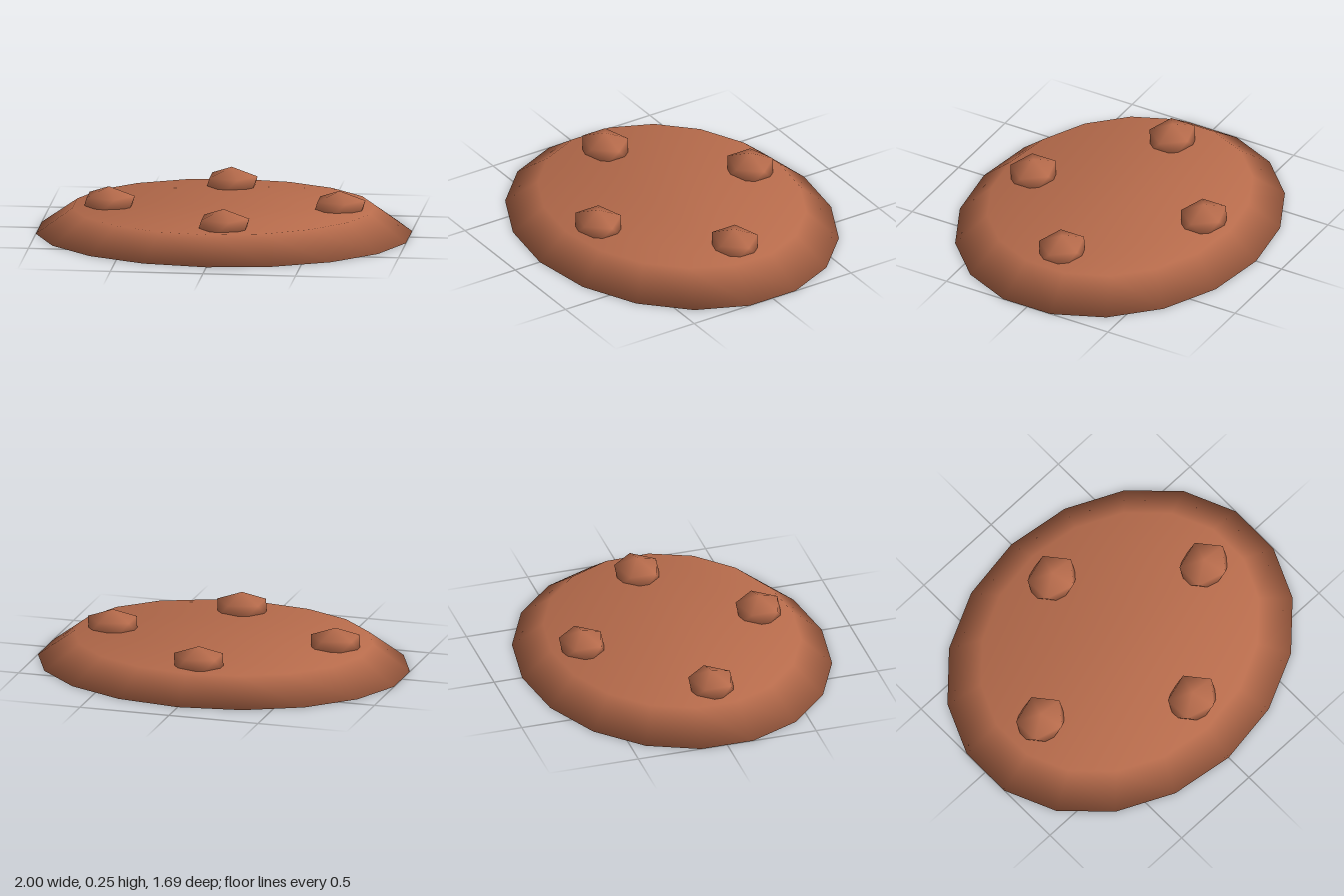
import * as THREE from 'three';

const clay = new THREE.MeshStandardMaterial({ color: 0xb86c4c });
clay.name = 'clay';

function indexedGeometry(points, index) {
  const g = new THREE.BufferGeometry();
  g.setAttribute('position', new THREE.Float32BufferAttribute(points.flat(), 3));
  g.setIndex(index);
  return g;
}

// Triangles between an upper ring (from u) and a lower ring (from l) of n points
function bandIndex(u, l, n) {
  const index = [];
  for (let i = 0; i < n; i++) {
    const j = (i + 1) % n;
    index.push(u + i, u + j, l + i, u + j, l + j, l + i);
  }
  return index;
}

// Oval 18-sided slab with sloping edge, shaded softly across its corners
function padGeometry() {
  const n = 18, rx = 1.0154, rz = 0.843, inset = 0.805;
  const lower = [], upper = [], lowerN = [], upperN = [];
  for (let i = 0; i < n; i++) {
    const a = (10 + 20 * i) * Math.PI / 180;
    const c = Math.cos(a), s = Math.sin(a);
    // the upper edge swells slightly on one side
    const swell = 0.01 * Math.max(0, Math.cos(a - Math.PI / 6)) ** 4;
    lower.push([rx * c, 0, rz * s]);
    upper.push([rx * c * inset, 0.14 + swell, rz * s * inset]);
    const out = new THREE.Vector3(c / rx, 0, s / rz).normalize().multiplyScalar(0.6);
    lowerN.push(out.clone().setY(-0.2).normalize().toArray());
    upperN.push(out.clone().setY(1.8).normalize().toArray());
  }
  const index = bandIndex(n, 0, n);
  for (let i = 1; i < n - 1; i++) {
    index.push(n, n + i + 1, n + i, 0, i, i + 1);
  }
  const g = indexedGeometry([...lower, ...upper], index);
  g.setAttribute('normal', new THREE.Float32BufferAttribute([...lowerN, ...upperN].flat(), 3));
  return g;
}

// Flattened twenty-faced stud with one point up
function studGeometry() {
  const points = [[0, 1, 0]];
  for (const [y, turn] of [[0.447, 0], [-0.447, 0.5]]) {
    for (let i = 0; i < 5; i++) {
      const a = (i + turn) * Math.PI * 2 / 5;
      points.push([0.894 * Math.cos(a), y, 0.894 * Math.sin(a)]);
    }
  }
  points.push([0, -1, 0]);
  const index = bandIndex(1, 6, 5);
  for (let i = 0; i < 5; i++) {
    const j = (i + 1) % 5;
    index.push(0, 1 + j, 1 + i, 11, 6 + i, 6 + j);
  }
  const g = indexedGeometry(points, index);
  g.scale(0.156, 0.09, 0.138);
  g.computeVertexNormals();
  return g;
}

export function createModel() {
  const model = new THREE.Group();
  model.name = 'studdedPad';

  const pad = new THREE.Mesh(padGeometry(), clay);
  pad.name = 'pad';
  model.add(pad);

  // Four studs set into the upper face
  const stud = studGeometry();
  const places = { leftStud: [0.625, 0], rightStud: [-0.618, 0.03], frontStud: [0.055, 0.505], backStud: [-0.016, -0.51] };
  for (const [name, [x, z]] of Object.entries(places)) {
    const mesh = new THREE.Mesh(stud, clay);
    mesh.name = name;
    mesh.position.set(x, 0.155, z);
    model.add(mesh);
  }
  return model;
}
